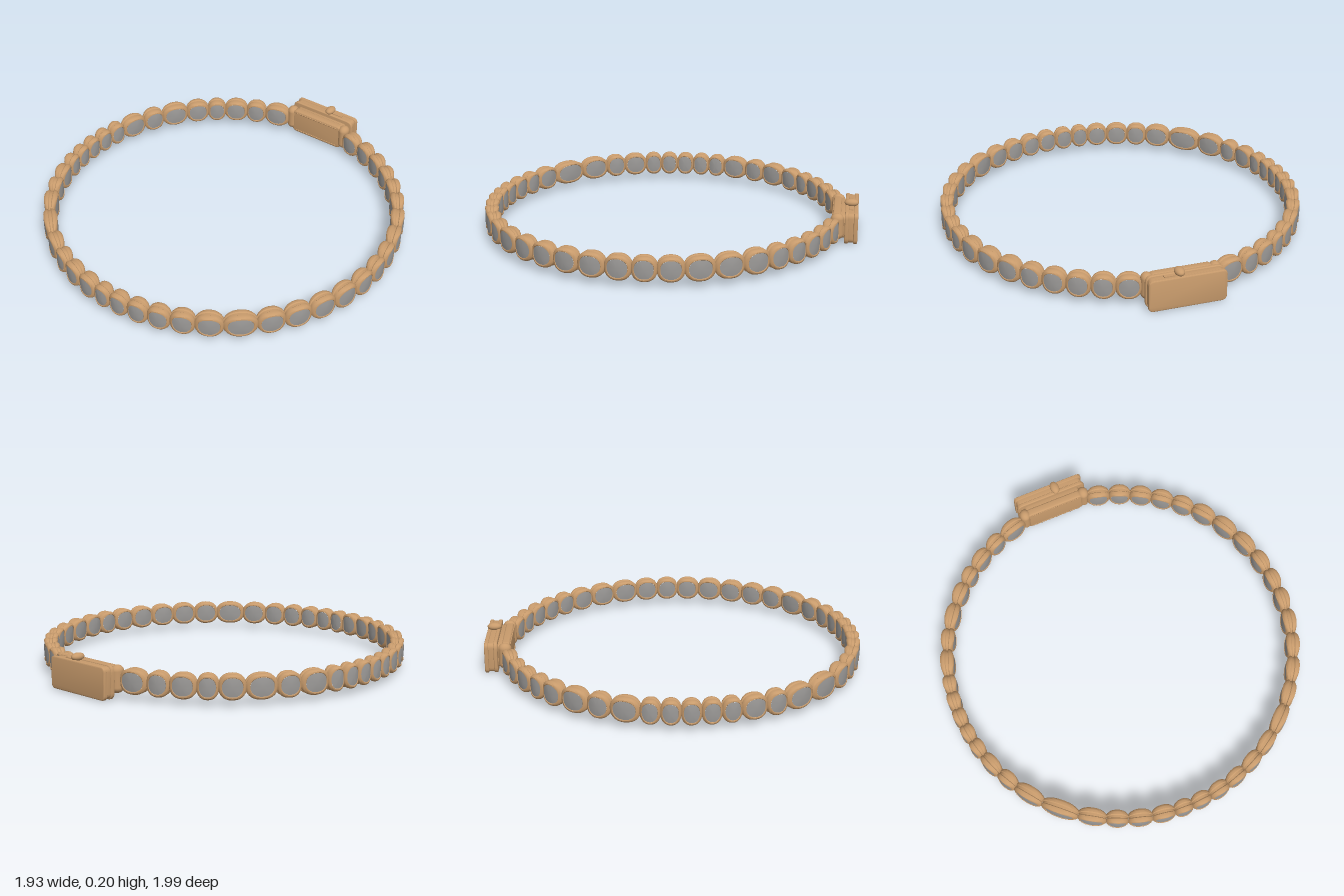
import * as THREE from 'three';
import { toCreasedNormals } from 'three/addons/utils/BufferGeometryUtils.js';

const RING_R = 0.928, RING_Z = 0.03, MID_Y = 0.092, HALF_H = 0.063;

// Angles (degrees from the front) of the joints between links
const LEFT_JOINTS = [0, 6.5, 13.3, 20.5, 28, 36.5, 46.5, 55, 63.5, 72, 80.5, 88.5, 96, 104, 113, 122, 130.5, 138, 145.5, 153, 160.3, 168];
const RIGHT_JOINTS = [0, 6, 13.3, 21, 28, 37, 49, 59, 66, 74, 80, 86, 92, 98, 104, 113, 120.5, 129.7, 137.6, 144, 152, 159, 168];

// Half cross-sections of a link: radius (unit), depth
const GEM = [[0.0001, 0.037], [0.4, 0.0365], [0.74, 0.0335]];
const RIM = [[0.74, 0.033], [0.77, 0.0365], [0.86, 0.036], [0.95, 0.031], [1, 0.023], [1, 0.012], [0.93, 0.007]];

const vec = (p) => new THREE.Vector2(p[0], p[1]);
const flip = (pts) => pts.map(([r, h]) => [r, -h]);

// Oval lathe around z that thins out toward both ends of the link
function ovalGeometry(points, halfLength) {
  const geo = new THREE.LatheGeometry(points.map(vec), 28);
  geo.rotateX(Math.PI / 2);
  const pos = geo.attributes.position;
  for (let i = 0; i < pos.count; i++) {
    const x = pos.getX(i), y = pos.getY(i), z = pos.getZ(i);
    const r = Math.hypot(x, y) || 1;
    const square = (v) => Math.sign(v) * Math.pow(Math.abs(v / r), 0.88) * r;
    pos.setXYZ(i, square(x) * halfLength, square(y) * HALF_H, z * (1 - 0.42 * x * x));
  }
  return toCreasedNormals(geo, 0.6);
}

// Plate with rounded corners and bevelled faces, lying in x/y
function plateGeometry(w, h, depth, corner, bevel) {
  const a = w / 2 - bevel, b = h / 2 - bevel, c = corner;
  const s = new THREE.Shape();
  s.moveTo(-a + c, -b);
  s.lineTo(a - c, -b);
  s.quadraticCurveTo(a, -b, a, -b + c);
  s.lineTo(a, b - c);
  s.quadraticCurveTo(a, b, a - c, b);
  s.lineTo(-a + c, b);
  s.quadraticCurveTo(-a, b, -a, b - c);
  s.lineTo(-a, -b + c);
  s.quadraticCurveTo(-a, -b, -a + c, -b);
  const geo = new THREE.ExtrudeGeometry(s, {
    depth: depth - 2 * bevel, bevelEnabled: true, bevelSize: bevel,
    bevelThickness: bevel, bevelSegments: 3, curveSegments: 5,
  });
  geo.translate(0, 0, -depth / 2 + bevel);
  return toCreasedNormals(geo, 0.6);
}

export function createModel() {
  const gold = new THREE.MeshStandardMaterial({ color: 0xc89b6c });
  gold.name = 'rose gold';
  const grey = new THREE.MeshStandardMaterial({ color: 0x9c9a98 });
  grey.name = 'grey inlay';

  const model = new THREE.Group();
  model.name = 'bracelet';
  const add = (parent, name, geo, mat, x = 0, y = 0, z = 0) => {
    const mesh = new THREE.Mesh(geo, mat);
    mesh.name = name;
    mesh.position.set(x, y, z);
    parent.add(mesh);
    return mesh;
  };

  // Chain of oval links, inlaid on the outside and inside
  const chain = new THREE.Group();
  chain.name = 'chain';
  model.add(chain);
  const rimProfile = [...flip(RIM), ...[...RIM].reverse()];
  for (const [side, joints] of [[1, LEFT_JOINTS], [-1, RIGHT_JOINTS]]) {
    for (let i = 0; i < joints.length - 1; i++) {
      const mid = THREE.MathUtils.degToRad((joints[i] + joints[i + 1]) / 2) * side;
      const span = THREE.MathUtils.degToRad(joints[i + 1] - joints[i]);
      const half = RING_R * span * 0.5 * 1.06;
      const link = new THREE.Group();
      link.name = 'link';
      add(link, 'linkRim', ovalGeometry(rimProfile, half), gold);
      add(link, 'outerInlay', ovalGeometry([...GEM].reverse(), half), grey);
      add(link, 'innerInlay', ovalGeometry(flip(GEM), half), grey);
      link.position.set(Math.sin(mid) * RING_R, MID_Y, RING_Z + Math.cos(mid) * RING_R);
      link.rotation.y = mid;
      chain.add(link);
    }
  }

  // Clasp: stepped outer case, waist and inner plate
  const clasp = new THREE.Group();
  clasp.name = 'clasp';
  model.add(clasp);
  const cy = 0.086;
  add(clasp, 'caseBack', plateGeometry(0.4, 0.166, 0.022, 0.02, 0.006), gold, 0, cy, -0.989);
  add(clasp, 'caseBody', plateGeometry(0.385, 0.158, 0.05, 0.02, 0.006), gold, 0, cy, -0.967);
  add(clasp, 'caseFront', plateGeometry(0.4, 0.172, 0.02, 0.03, 0.006), gold, 0, cy, -0.942);
  add(clasp, 'waist', plateGeometry(0.33, 0.125, 0.05, 0.02, 0.004), gold, 0, cy, -0.915);
  add(clasp, 'innerPlate', plateGeometry(0.33, 0.142, 0.042, 0.02, 0.008), gold, 0, cy, -0.89);

  // Rows of beads along the inner plate
  const beadGeo = new THREE.SphereGeometry(0.005, 8, 6);
  for (const dy of [-0.058, 0.058]) {
    for (let i = 0; i < 24; i++) {
      add(clasp, 'bead', beadGeo, gold, -0.132 + i * 0.0115, cy + dy, -0.869);
    }
  }

  // Rounded end posts holding the chain
  for (const s of [-1, 1]) {
    const post = add(clasp, 'endPost', new THREE.CapsuleGeometry(0.03, 0.08, 8, 20), gold, s * 0.175, 0.094, -0.893);
    post.scale.z = 1.15;
  }

  // Push button on top with its small spring tongue
  add(clasp, 'buttonStem', new THREE.CylinderGeometry(0.012, 0.012, 0.04, 16), gold, 0.035, 0.17, -0.963);
  const button = add(clasp, 'button', new THREE.SphereGeometry(0.025, 20, 14), gold, 0.035, 0.182, -0.963);
  button.scale.set(1, 0.8, 1.5);
  add(clasp, 'springTongue', new THREE.BoxGeometry(0.06, 0.008, 0.02), gold, 0.085, 0.166, -0.965);

  return model;
}
